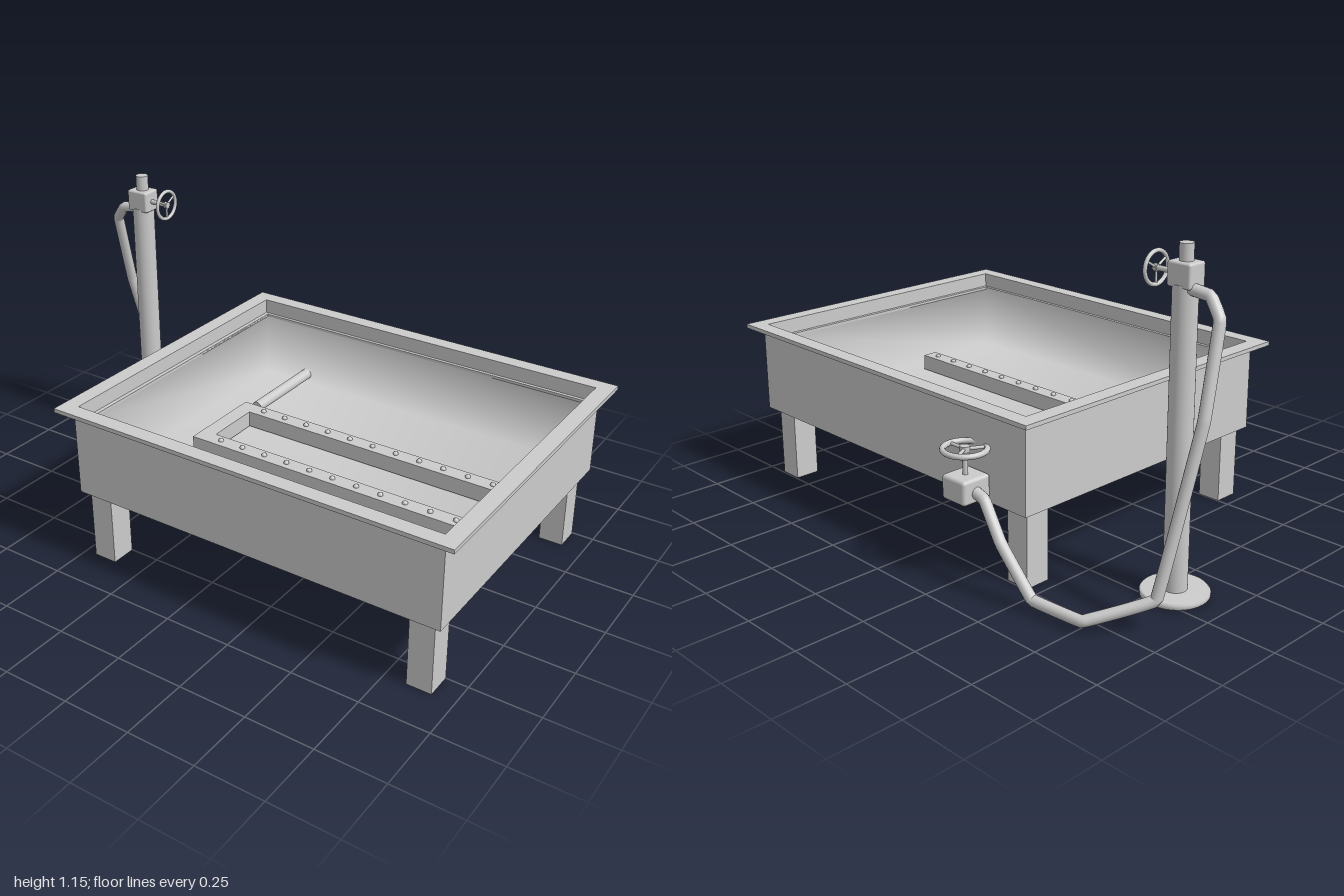
import * as THREE from 'three';
import { mergeVertices } from 'three/addons/utils/BufferGeometryUtils.js';
import { RoundedBoxGeometry } from 'three/addons/geometries/RoundedBoxGeometry.js';

const CX = 0.235, CZ = 0.0475; // centre of the tray

export function createModel() {
  const root = new THREE.Group();
  const steel = new THREE.MeshStandardMaterial({ color: 0xcccccc });
  steel.name = 'steel grey';

  function add(name, geometry, x = 0, y = 0, z = 0, parent = root) {
    const mesh = new THREE.Mesh(geometry, steel);
    mesh.name = name;
    mesh.position.set(x, y, z);
    parent.add(mesh);
    return mesh;
  }
  const box = (w, h, d) => new THREE.BoxGeometry(w, h, d);
  const rod = (r, h, n = 24) => new THREE.CylinderGeometry(r, r, h, n);

  const path = (a) => a.map(([x, y]) => new THREE.Vector2(x, y));
  const rect = (hx, hz) => path([[-hx, -hz], [hx, -hz], [hx, hz], [-hx, hz]]);
  // lay an outline flat and give it a height
  function slab(shape, height) {
    return new THREE.ExtrudeGeometry(shape, { depth: height, bevelEnabled: false }).rotateX(-Math.PI / 2);
  }
  function frame(name, hx, hz, holeX, holeZ, y0, y1) {
    const shape = new THREE.Shape(rect(hx, hz));
    shape.holes.push(new THREE.Path(rect(holeX, holeZ).reverse()));
    add(name, slab(shape, y1 - y0), CX, y0, CZ);
  }

  // tray: outer walls, flat rim, inner ledge and bottom
  frame('trayWalls', 0.715, 0.5725, 0.705, 0.56, 0.27, 0.592);
  frame('trayRim', 0.765, 0.6175, 0.705, 0.56, 0.59, 0.605);
  frame('trayLedge', 0.706, 0.561, 0.69, 0.547, 0.54, 0.55);
  add('trayBottom', box(1.425, 0.01, 1.14), CX, 0.275, CZ);

  // softly shaded liner: an inward-facing box without its top
  const liner = box(1.38, 0.255, 1.094);
  const index = Array.from(liner.index.array);
  index.splice(12, 6); // top face
  for (let i = 0; i < index.length; i += 3) [index[i], index[i + 1]] = [index[i + 1], index[i]];
  liner.setIndex(index);
  liner.clearGroups();
  liner.deleteAttribute('normal');
  liner.deleteAttribute('uv');
  const smoothLiner = mergeVertices(liner);
  smoothLiner.computeVertexNormals();
  add('trayLiner', smoothLiner, CX, 0.4225, CZ);

  // legs
  for (const x of [-0.41, 0.875]) {
    for (const z of [0.5475, -0.4475]) add('leg', box(0.09, 0.272, 0.094), x, 0.136, z);
  }

  // forked burner with a row of nozzles on each arm
  const fork = path([[-0.295, -0.165], [0.82, -0.165], [0.82, -0.105], [-0.235, -0.105],
    [-0.235, 0.105], [0.82, 0.105], [0.82, 0.165], [-0.295, 0.165]]);
  add('burner', slab(new THREE.Shape(fork), 0.06), 0, 0.3, 0.045);
  for (const z of [-0.09, 0.18]) {
    for (let i = 0; i < 11; i++) {
      add('nozzle', new THREE.SphereGeometry(0.01, 12, 8), -0.19 + i * 0.0957, 0.361, z);
    }
  }
  add('feedPipe', rod(0.021, 0.44).rotateX(Math.PI / 2), -0.265, 0.333, -0.37);

  // three-spoked handwheel, axis along y, with its stem hanging below
  function handwheel(name, radius, tube, stem) {
    const g = new THREE.Group();
    g.name = name;
    add('wheelRing', new THREE.TorusGeometry(radius - tube, tube, 12, 40).rotateX(Math.PI / 2), 0, 0, 0, g);
    add('wheelHub', rod(radius * 0.2, tube * 2), 0, 0, 0, g);
    for (let i = 0; i < 3; i++) {
      const spoke = new THREE.CylinderGeometry(tube * 0.6, tube * 0.6, radius - tube, 10);
      spoke.rotateX(Math.PI / 2).translate(0, 0, (radius - tube) / 2);
      add('wheelSpoke', spoke, 0, 0, 0, g).rotation.y = i * Math.PI * 2 / 3 + Math.PI / 2;
    }
    add('wheelStem', rod(0.009, stem, 16), 0, -stem / 2, 0, g);
    root.add(g);
    return g;
  }

  // standpipe
  const PX = -0.81, PZ = -0.18;
  add('postBase', new THREE.LatheGeometry(path([[0, 0], [0.109, 0], [0.115, 0.006], [0.115, 0.018],
    [0.109, 0.024], [0, 0.024]]), 40), PX, 0, PZ);
  add('post', rod(0.041, 1.01, 32), PX, 0.525, PZ);
  add('postValve', new RoundedBoxGeometry(0.09, 0.08, 0.075, 2, 0.008), PX, 1.06, PZ);
  add('postCap', rod(0.023, 0.06), PX, 1.125, PZ);
  const upper = handwheel('postHandwheel', 0.06, 0.007, 0.08);
  upper.position.set(-0.695, 1.058, PZ);
  upper.rotation.z = -Math.PI / 2;

  // rear valve
  add('rearValve', new RoundedBoxGeometry(0.11, 0.085, 0.115, 2, 0.012), -0.265, 0.331, -0.583);
  handwheel('rearHandwheel', 0.082, 0.01, 0.1).position.set(-0.265, 0.46, -0.585);

  // hose from the post valve down to the rear valve
  const hosePoints = [[-0.84, 1.02, -0.19], [-0.91, 1.01, -0.185], [-0.962, 0.95, -0.205],
    [-0.98, 0.66, -0.285], [-0.925, 0.11, -0.41], [-0.765, 0.035, -0.565],
    [-0.57, 0.04, -0.585], [-0.45, 0.2, -0.605], [-0.36, 0.315, -0.59], [-0.29, 0.33, -0.583]];
  const hose = new THREE.CatmullRomCurve3(hosePoints.map((p) => new THREE.Vector3(...p)), false, 'catmullrom', 0.05);
  add('hose', new THREE.TubeGeometry(hose, 140, 0.02, 16));

  return root;
}
